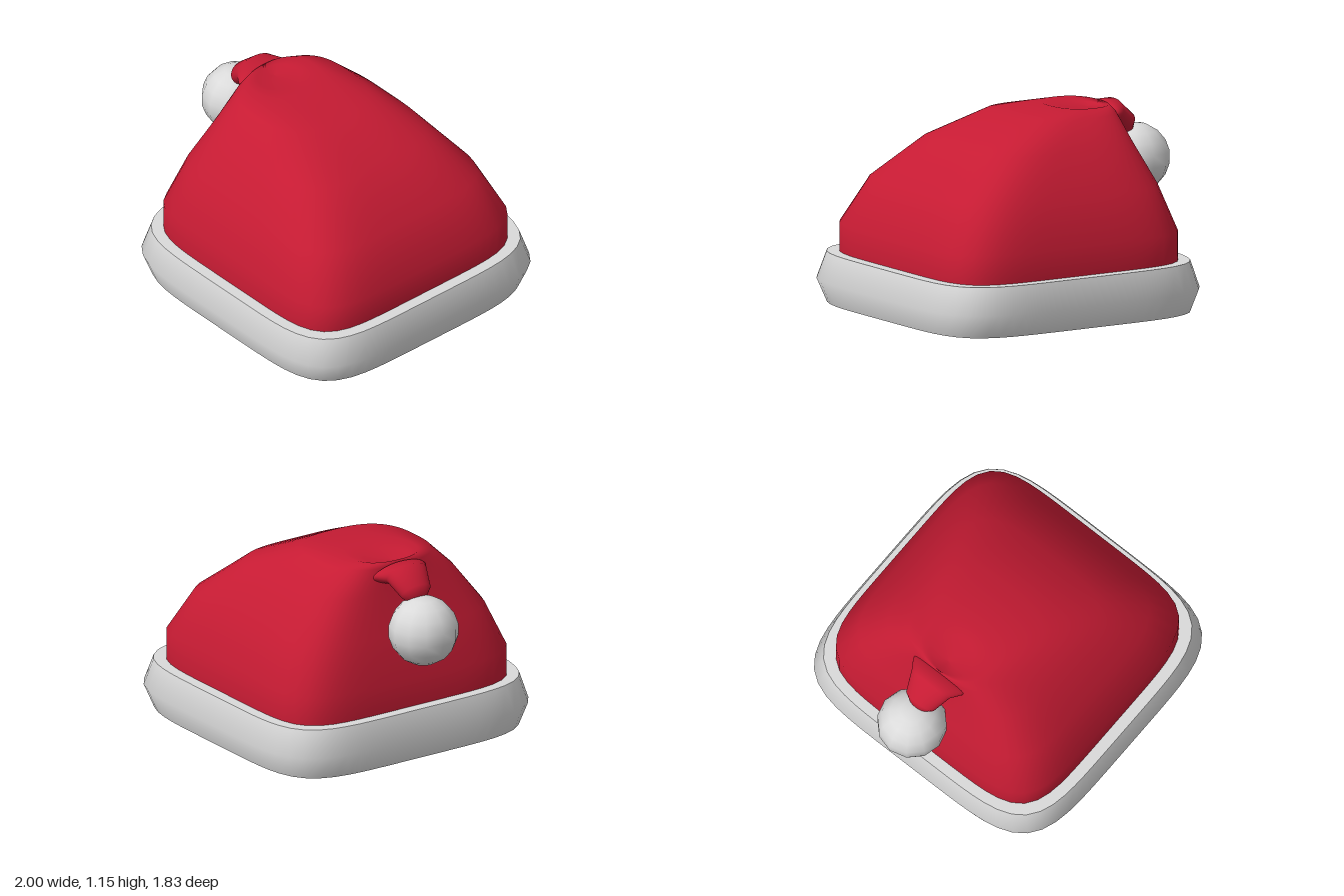
import * as THREE from 'three';

const SIDES = 80;

// Rounded-square ring: x limits, half depth, height, squareness exponent
function ring(x0, x1, hz, y, n) {
  const cx = (x0 + x1) / 2, hx = (x1 - x0) / 2, pts = [];
  for (let j = 0; j < SIDES; j++) {
    const a = (j / SIDES) * Math.PI * 2, c = Math.cos(a), s = Math.sin(a);
    const r = Math.pow(Math.abs(c) ** n + Math.abs(s) ** n, -1 / n);
    pts.push([cx + hx * r * c, y, hz * r * s]);
  }
  return pts;
}

// Elliptical section of the folded tip, spanned by its top and bottom points
function section([tx, ty], [bx, by], w) {
  const pts = [];
  for (let j = 0; j < SIDES; j++) {
    const a = (j / SIDES) * Math.PI * 2, c = Math.cos(a);
    pts.push([(tx + bx) / 2 + ((tx - bx) / 2) * c, (ty + by) / 2 + ((ty - by) / 2) * c, w * Math.sin(a)]);
  }
  return pts;
}

const point = (x, y, z) => Array.from({ length: SIDES }, () => [x, y, z]);

// Smooth skin over successive closed rings
function loft(rings) {
  const index = [];
  for (let i = 0; i < rings.length - 1; i++) {
    for (let j = 0; j < SIDES; j++) {
      const k = (j + 1) % SIDES;
      const a = i * SIDES + j, b = i * SIDES + k, c = a + SIDES, d = b + SIDES;
      index.push(a, c, b, b, c, d);
    }
  }
  const geo = new THREE.BufferGeometry();
  geo.setAttribute('position', new THREE.Float32BufferAttribute(rings.flat(2), 3));
  geo.setIndex(index);
  geo.computeVertexNormals();
  return geo;
}

export function createModel() {
  const model = new THREE.Group();
  model.name = 'winterHat';
  const material = (name, color) => {
    const m = new THREE.MeshStandardMaterial({ color });
    m.name = name;
    return m;
  };
  const red = material('red felt', 0xc61b33);
  const white = material('white fur', 0xdadada);
  const dark = material('dark lining', 0x1b0033);
  const add = (name, geo, mat) => {
    const mesh = new THREE.Mesh(geo, mat);
    mesh.name = name;
    model.add(mesh);
    return mesh;
  };

  // Fur band, with a separate flat rim on top
  add('band', loft([
    ring(-0.79, 0.95, 0.865, 0, 5.2),
    ring(-0.83, 1.0, 0.915, 0.14, 5.2),
    ring(-0.785, 0.95, 0.87, 0.3, 5.2),
  ]), white);
  add('bandRim', loft([
    ring(-0.785, 0.95, 0.87, 0.3, 5.2),
    ring(-0.7, 0.86, 0.78, 0.3, 5.2),
  ]), white);

  // Closed underside
  add('underside', loft([point(0.08, 0, 0), ring(-0.79, 0.95, 0.865, 0, 5.2)]), dark);

  // Slouching crown, leaning to one side, with a shallow dimple on top
  add('crown', loft([
    ring(-0.72, 0.88, 0.8, 0.29, 5.7),
    ring(-0.72, 0.88, 0.8, 0.47, 5.7),
    ring(-0.645, 0.74, 0.69, 0.74, 5),
    ring(-0.575, 0.47, 0.52, 0.975, 3.8),
    ring(-0.555, 0.13, 0.355, 1.125, 2.8),
    ring(-0.55, -0.2, 0.22, 1.155, 2.4),
    ring(-0.54, -0.3, 0.13, 1.135, 2),
    point(-0.46, 1.125, 0),
  ]), red);

  // Tip folded over the side
  add('tip', loft([
    section([-0.52, 1.11], [-0.52, 1.0], 0.19),
    section([-0.57, 1.15], [-0.56, 1.02], 0.18),
    section([-0.65, 1.155], [-0.6, 1.02], 0.14),
    section([-0.76, 1.06], [-0.68, 0.95], 0.1),
    section([-0.765, 0.98], [-0.7, 0.94], 0.06),
    point(-0.74, 0.94, 0),
  ]), red);

  // Pompom
  const pom = add('pompom', new THREE.SphereGeometry(0.207, 12, 9), white);
  pom.position.set(-0.795, 0.79, 0);

  return model;
}
